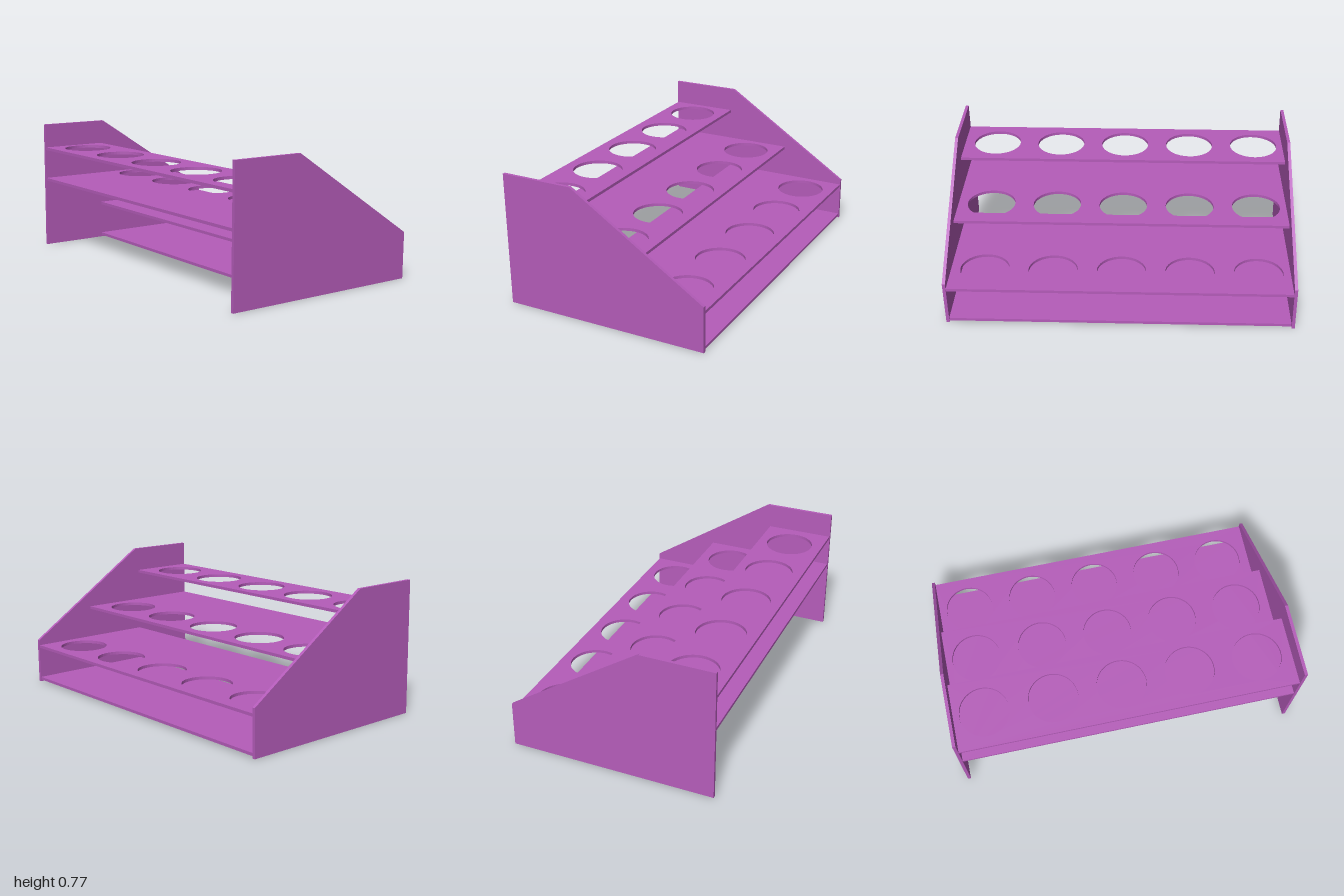
import * as THREE from 'three';

const material = new THREE.MeshStandardMaterial({ color: 0xb55cba });
const THICK = 0.017;
const HOLE_RADIUS = 0.142;
const HOLE_Z = [-0.796, -0.402, -0.008, 0.386, 0.78];

// Flat board spanning x0..x1, with an optional row of round holes at holeX
function shelf(name, x0, x1, top, holeX) {
  const half = 0.98;
  const shape = new THREE.Shape();
  shape.moveTo(x0, -half);
  shape.lineTo(x1, -half);
  shape.lineTo(x1, half);
  shape.lineTo(x0, half);
  shape.closePath();
  if (holeX !== undefined) {
    for (const z of HOLE_Z) {
      const hole = new THREE.Path();
      hole.absarc(holeX, z, HOLE_RADIUS, 0, Math.PI * 2, true);
      shape.holes.push(hole);
    }
  }
  const geometry = new THREE.ExtrudeGeometry(shape, { depth: THICK, bevelEnabled: false, curveSegments: 24 });
  geometry.rotateX(Math.PI / 2);
  geometry.translate(0, top, 0);
  const mesh = new THREE.Mesh(geometry, material);
  mesh.name = name;
  return mesh;
}

// End panel with a sloping top edge, leaning very slightly toward the front
function endPanel(name, z) {
  const shape = new THREE.Shape([
    [-0.6, 0], [0.6, 0], [0.6, 0.267], [-0.178, 0.775], [-0.6, 0.775],
  ].map(([x, y]) => new THREE.Vector2(x, y)));
  const geometry = new THREE.ExtrudeGeometry(shape, { depth: 0.018, bevelEnabled: false });
  const lean = new THREE.Matrix4().set(1, 0, 0, 0, 0, 1, 0, 0, 0, 0.013, 1, z, 0, 0, 0, 1);
  geometry.applyMatrix4(lean);
  geometry.computeVertexNormals();
  const mesh = new THREE.Mesh(geometry, material);
  mesh.name = name;
  return mesh;
}

export function createModel() {
  const rack = new THREE.Group();
  rack.name = 'steppedRack';
  rack.add(
    endPanel('frontEndPanel', 0.972),
    endPanel('backEndPanel', -1),
    // Each tier also supports whatever stands in the holes of the tier above
    shelf('topShelf', -0.597, -0.198, 0.629, -0.395),
    shelf('middleShelf', -0.597, 0.2, 0.433, 0),
    shelf('lowerShelf', -0.198, 0.597, 0.235, 0.395),
    shelf('baseShelf', -0.198, 0.597, 0.028),
  );
  return rack;
}
